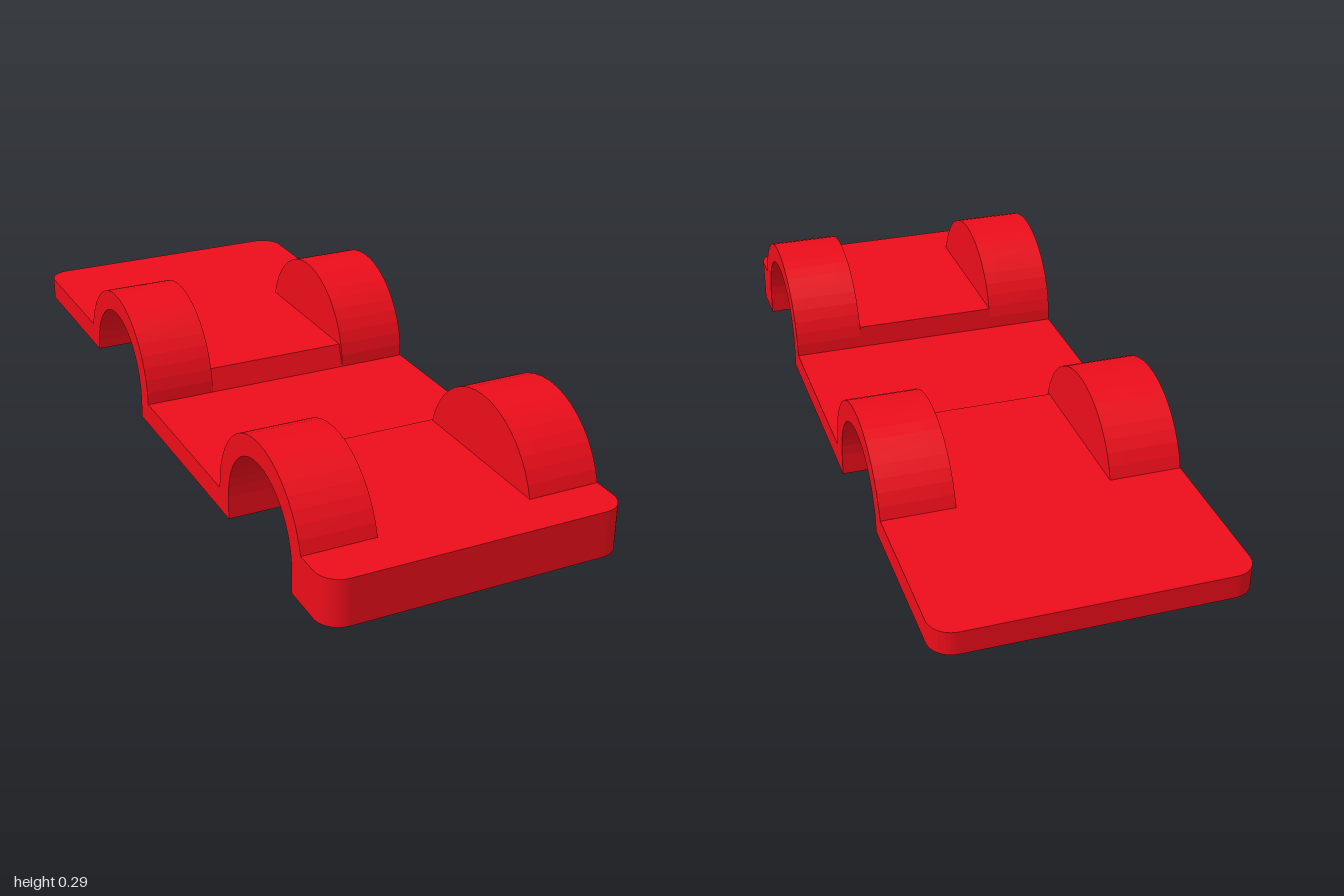
import * as THREE from 'three';

const W = 0.39, WALL = 0.24, INNER = 0.2;   // half width, well wall, inner face of arches
const DECK = 0.122, FLOOR = 0.06;           // raised deck and low floor heights
const FRONT = 0.65, REAR = -0.325;          // wheel centres along z
const R_OUT = 0.235, R_IN = 0.18;
const END = 0.92;                           // where the rounded end slabs begin
const red = new THREE.MeshStandardMaterial({ color: 0xec0d1a, flatShading: true });

// Side profile drawn as (z, y), with optional arches and wheel wells
function sideProfile(arches, wells) {
  const s = new THREE.Shape();
  const a = Math.asin((DECK - FLOOR) / R_OUT);
  s.moveTo(-END, FLOOR);
  if (wells) {
    s.lineTo(REAR - R_IN, FLOOR);
    s.absarc(REAR, FLOOR, R_IN, Math.PI, 0, true);
    s.lineTo(REAR + R_IN, 0);
    s.lineTo(FRONT - R_IN, 0);
    s.lineTo(FRONT - R_IN, FLOOR);
    s.absarc(FRONT, FLOOR, R_IN, Math.PI, 0, true);
    s.lineTo(FRONT + R_IN, 0);
  } else {
    s.lineTo(-0.5, FLOOR);
    s.lineTo(-0.5, 0);
  }
  s.lineTo(END, 0);
  s.lineTo(END, DECK);
  if (arches) {
    s.absarc(FRONT, FLOOR, R_OUT, a, Math.PI, false);
    s.absarc(REAR, FLOOR, R_OUT, 0, Math.PI - a, false);
  } else {
    s.lineTo(0.42, DECK);
    s.lineTo(FRONT - R_OUT, FLOOR);
    s.lineTo(REAR + R_OUT, FLOOR);
    s.lineTo(-0.11, DECK);
  }
  s.lineTo(-END, DECK);
  s.closePath();
  return s;
}

// Extrude a side profile between two x positions
function slice(name, shape, x0, x1) {
  const g = new THREE.ExtrudeGeometry(shape, { depth: x1 - x0, bevelEnabled: false, curveSegments: 10 });
  g.rotateY(-Math.PI / 2).translate(x1, 0, 0);
  const m = new THREE.Mesh(g, red);
  m.name = name;
  return m;
}

// Slab with two rounded corners, closing one end of the chassis
function endSlab(name, dir, y0, y1) {
  const r = 0.06, s = new THREE.Shape();
  s.moveTo(-W, END);
  s.lineTo(W, END);
  s.absarc(W - r, 1 - r, r, 0, Math.PI / 2, false);
  s.absarc(-W + r, 1 - r, r, Math.PI / 2, Math.PI, false);
  s.closePath();
  const g = new THREE.ExtrudeGeometry(s, { depth: y1 - y0, bevelEnabled: false, curveSegments: 8 });
  g.rotateX(Math.PI / 2).translate(0, y1, 0);
  if (dir < 0) g.rotateY(Math.PI);
  const m = new THREE.Mesh(g, red);
  m.name = name;
  return m;
}

export function createModel() {
  const group = new THREE.Group();
  group.name = 'chassis';

  // Stepped centre deck
  group.add(slice('centreDeck', sideProfile(false, false), -INNER, INNER));

  // Inner well walls and hollow wheel arches on both sides
  const wall = sideProfile(true, false), arch = sideProfile(true, true);
  group.add(slice('leftWellWall', wall, INNER, WALL));
  group.add(slice('rightWellWall', wall, -WALL, -INNER));
  group.add(slice('leftWheelArches', arch, WALL, W));
  group.add(slice('rightWheelArches', arch, -W, -WALL));

  // Rounded ends
  group.add(endSlab('frontEnd', 1, 0, DECK));
  group.add(endSlab('rearEnd', -1, FLOOR, DECK));
  return group;
}
